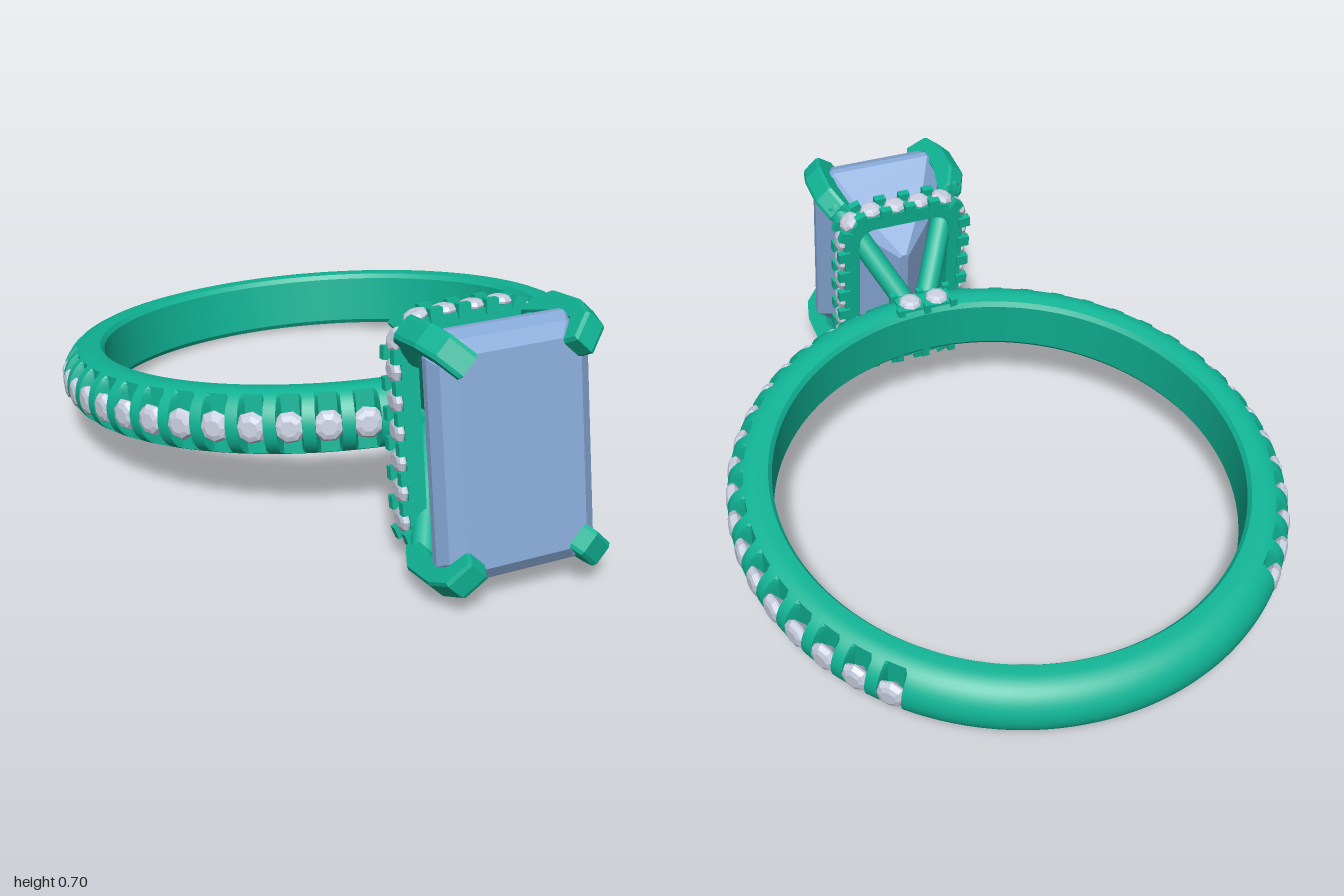
import * as THREE from 'three';
import { toCreasedNormals } from 'three/addons/utils/BufferGeometryUtils.js';

const metal = new THREE.MeshStandardMaterial({ color: 0x10b496 });
const metalFlat = new THREE.MeshStandardMaterial({ color: 0x10b496, flatShading: true });
const blue = new THREE.MeshStandardMaterial({ color: 0x88aad8, flatShading: true });
const clear = new THREE.MeshStandardMaterial({ color: 0xc9cfe0, flatShading: true });

function add(parent, name, geo, mat) {
  const m = new THREE.Mesh(geo, mat);
  m.name = name;
  parent.add(m);
  return m;
}

// Skin a series of equal loops of points; either close the series or cap both ends.
function loft(loops, ring) {
  const n = loops[0].length, L = loops.length, idx = [];
  for (let l = 0; l < (ring ? L : L - 1); l++)
    for (let i = 0; i < n; i++) {
      const a = l * n + i, b = l * n + (i + 1) % n, k = ((l + 1) % L) * n;
      const d = k + i, c = k + (i + 1) % n;
      idx.push(a, b, c, a, c, d);
    }
  if (!ring)
    for (let i = 1; i < n - 1; i++) {
      const t = (L - 1) * n;
      idx.push(0, i + 1, i, t, t + i, t + i + 1);
    }
  const g = new THREE.BufferGeometry();
  g.setAttribute('position', new THREE.Float32BufferAttribute(loops.flat(2), 3));
  g.setIndex(idx);
  g.computeVertexNormals();
  return g;
}

// Small round faceted gem, radius 1, table facing +y
const gemGeo = new THREE.LatheGeometry(
  [[0, -0.8], [0.95, -0.1], [1, 0.05], [0.82, 0.32], [0.5, 0.45], [0, 0.45]].map(p => new THREE.Vector2(...p)), 8);

function addGem(parent, name, pos, dir, r) {
  const g = add(parent, name, gemGeo, clear);
  g.position.copy(pos);
  g.quaternion.setFromUnitVectors(new THREE.Vector3(0, 1, 0), dir);
  g.scale.setScalar(r);
}

// Band with D-shaped section, cut by a groove at every gem
function buildShank(parent) {
  const section = [];
  for (let i = 0; i <= 20; i++) {
    const a = Math.PI * (0.5 - i / 20);
    section.push([0.7 + 0.085 * Math.cos(a), 0.09 * Math.sin(a)]);
  }
  section.push([0.67, -0.086], [0.66, -0.072], [0.66, 0.072], [0.67, 0.086]);

  const perGem = 12, total = 48 * perGem, loops = [];
  for (let c = 0; c < total; c++) {
    const phi = c / total * Math.PI * 2;
    const slot = Math.round(c / perGem);
    const side = Math.min(slot, 48 - slot);
    const cut = side >= 2 && side <= 18 && Math.abs(c - slot * perGem) <= 3;
    loops.push(section.map(([r, v]) => {
      const q = cut ? Math.min(r, 0.738) : r;
      return [q * Math.sin(phi), v, q * Math.cos(phi)];
    }));
  }
  add(parent, 'band', toCreasedNormals(loft(loops, true), 0.6), metal);

  for (const s of [-1, 1])
    for (let k = 2; k <= 18; k++) {
      const phi = s * k * Math.PI / 24;
      const dir = new THREE.Vector3(Math.sin(phi), 0, Math.cos(phi));
      addGem(parent, 'bandGem', dir.clone().multiplyScalar(0.768), dir, 0.044);
    }

  // Pair of gems in a small plate above and below the band, behind the head
  for (const s of [-1, 1]) {
    const plate = add(parent, 'bridgePlate', new THREE.BoxGeometry(0.17, 0.03, 0.07), metalFlat);
    plate.position.set(0, s * 0.08, 0.705);
    for (const x of [-0.043, 0.043])
      addGem(parent, 'bridgeGem', new THREE.Vector3(x, s * 0.092, 0.705), new THREE.Vector3(0, s, 0), 0.036);
    for (const x of [-0.085, 0, 0.085])
      for (const z of [0.67, 0.74]) {
        const bead = add(parent, 'bridgeBead', new THREE.BoxGeometry(0.022, 0.04, 0.018), metalFlat);
        bead.position.set(x, s * 0.086, z);
      }
  }
}

function roundedRect(target, w, h, r) {
  target.moveTo(w, -h + r);
  target.lineTo(w, h - r);
  target.absarc(w - r, h - r, r, 0, Math.PI / 2);
  target.lineTo(-w + r, h);
  target.absarc(-w + r, h - r, r, Math.PI / 2, Math.PI);
  target.lineTo(-w, -h + r);
  target.absarc(-w + r, -h + r, r, Math.PI, Math.PI * 1.5);
  target.lineTo(w - r, -h);
  target.absarc(w - r, -h + r, r, Math.PI * 1.5, Math.PI * 2);
  return target;
}

// Rounded frame behind the stone, set with gems facing outward
function buildHalo(parent) {
  const shape = roundedRect(new THREE.Shape(), 0.192, 0.302, 0.09);
  shape.holes.push(roundedRect(new THREE.Path(), 0.145, 0.255, 0.05));
  const geo = new THREE.ExtrudeGeometry(shape, { depth: 0.066, bevelEnabled: false, curveSegments: 10 });
  geo.translate(0, 0, 0.882);
  add(parent, 'haloFrame', toCreasedNormals(geo, 0.6), metal);

  const path = roundedRect(new THREE.Path(), 0.196, 0.306, 0.09);
  const count = 24, pts = path.getSpacedPoints(count * 2);
  for (let i = 0; i < count * 2; i++) {
    const p = pts[i], a = pts[(i + count * 2 - 1) % (count * 2)], b = pts[i + 1];
    const dir = new THREE.Vector3(b.y - a.y, a.x - b.x, 0).normalize();
    const pos = new THREE.Vector3(p.x, p.y, 0.915);
    if (i % 2) {
      addGem(parent, 'haloGem', pos, dir, 0.034);
    } else {
      for (const z of [-0.03, 0.03]) {
        const post = add(parent, 'haloBead', new THREE.BoxGeometry(0.036, 0.034, 0.022), metalFlat);
        post.position.copy(pos);
        post.position.z += z;
        post.rotation.z = Math.atan2(dir.y, dir.x);
      }
    }
  }
}

// Step-cut rectangular stone: octagons [z, half width, half height, corner cut]
function buildStone(parent) {
  const levels = [
    [0.88, 0.014, 0.13, 0.008], [0.965, 0.105, 0.2, 0.035], [1.045, 0.17, 0.26, 0.05],
    [1.11, 0.215, 0.315, 0.06], [1.13, 0.215, 0.315, 0.06],
    [1.165, 0.198, 0.298, 0.056], [1.19, 0.165, 0.264, 0.05]];
  const loops = levels.map(([z, w, h, c]) => [
    [w, -h + c, z], [w, h - c, z], [w - c, h, z], [-w + c, h, z],
    [-w, h - c, z], [-w, -h + c, z], [-w + c, -h, z], [w - c, -h, z]]);
  add(parent, 'centreStone', loft(loops, false), blue);
}

// Four corner claws on struts that spread from the front of the band
function buildClaws(parent) {
  const profile = [[-0.03, 0.955], [0.01, 0.965], [0.045, 1.02], [0.045, 1.13], [0.022, 1.195],
    [-0.045, 1.22], [-0.062, 1.19], [-0.004, 1.155], [-0.004, 1.06]];
  const shape = new THREE.Shape(profile.map(p => new THREE.Vector2(...p)));
  const clawGeo = new THREE.ExtrudeGeometry(shape,
    { depth: 0.05, bevelSize: 0.005, bevelThickness: 0.01, bevelSegments: 1 });
  clawGeo.translate(0, 0, -0.025);
  for (const sx of [-1, 1])
    for (const sy of [-1, 1]) {
      const out = new THREE.Vector3(sx, sy, 0).normalize();
      const fwd = new THREE.Vector3(0, 0, 1);
      const claw = add(parent, 'claw', clawGeo, metalFlat);
      claw.quaternion.setFromRotationMatrix(
        new THREE.Matrix4().makeBasis(out, fwd, out.clone().cross(fwd)));
      claw.position.set(sx * 0.185, sy * 0.28, 0);

      const a = new THREE.Vector3(sx * 0.02, sy * 0.015, 0.75);
      const b = new THREE.Vector3(sx * 0.188, sy * 0.285, 1.0);
      const strut = add(parent, 'strut', new THREE.CylinderGeometry(0.034, 0.034, a.distanceTo(b), 16), metal);
      strut.position.copy(a).lerp(b, 0.5);
      strut.quaternion.setFromUnitVectors(new THREE.Vector3(0, 1, 0), b.clone().sub(a).normalize());
    }
}

export function createModel() {
  const model = new THREE.Group();
  model.name = 'ring';
  const shank = new THREE.Group(), head = new THREE.Group(), tilted = new THREE.Group();
  shank.name = 'shank';
  head.name = 'head';
  tilted.name = 'tiltedRing';
  buildShank(shank);
  buildHalo(head);
  buildStone(head);
  buildClaws(head);
  tilted.add(shank, head);
  // The ring rests on its back edge, with the head raised
  tilted.rotation.x = -0.152;
  tilted.position.set(0, 0.203, -0.223);
  model.add(tilted);
  return model;
}
